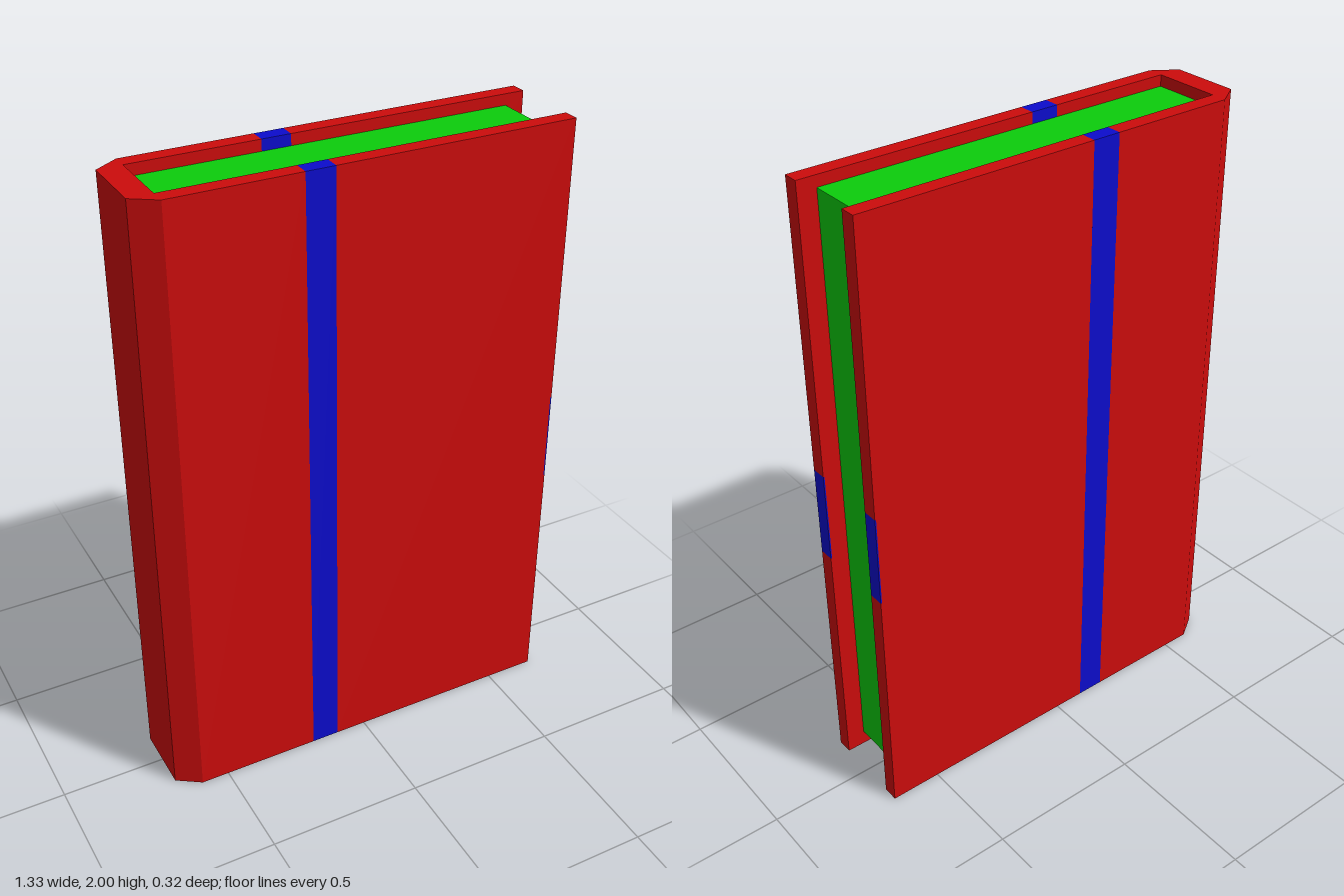
import * as THREE from 'three';

const HEIGHT = 2, OUTER = 0.158, INNER = 0.108; // half depths of cover and page block
const SPINE_X = -0.59, FORE_X = 0.665, EDGE = 0.004;

function material(name, color) {
  const m = new THREE.MeshStandardMaterial({ color });
  m.name = name;
  return m;
}

// Box given by its lower and upper limits on each axis
function block(name, mat, [x0, x1], [y0, y1], [z0, z1]) {
  const mesh = new THREE.Mesh(new THREE.BoxGeometry(x1 - x0, y1 - y0, z1 - z0), mat);
  mesh.position.set((x0 + x1) / 2, (y0 + y1) / 2, (z0 + z1) / 2);
  mesh.name = name;
  return mesh;
}

export function createModel() {
  const red = material('cover red', 0xcc0c0c);
  const blue = material('band blue', 0x0c0ccc);
  const green = material('page green', 0x0ccc0c);

  const book = new THREE.Group();
  book.name = 'book';

  // Spine with bevelled outer corners
  const outline = new THREE.Shape([
    new THREE.Vector2(-FORE_X, -INNER),
    new THREE.Vector2(SPINE_X, -OUTER),
    new THREE.Vector2(SPINE_X, OUTER),
    new THREE.Vector2(-FORE_X, INNER),
  ]);
  const spineGeometry = new THREE.ExtrudeGeometry(outline, { depth: HEIGHT, bevelEnabled: false });
  spineGeometry.rotateX(-Math.PI / 2);
  const spine = new THREE.Mesh(spineGeometry, red);
  spine.name = 'spine';
  book.add(spine);

  // Two cover boards, each crossed by a blue band and with a blue patch on its fore edge
  for (const [name, z] of [['frontCover', [INNER, OUTER]], ['backCover', [-OUTER, -INNER]]]) {
    const cover = new THREE.Group();
    cover.name = name;
    const full = [0, HEIGHT], edge = [FORE_X - EDGE, FORE_X];
    cover.add(
      block('spineSideBoard', red, [SPINE_X, -0.19], full, z),
      block('band', blue, [-0.19, -0.1], full, z),
      block('foreSideBoard', red, [-0.1, FORE_X - EDGE], full, z),
      block('lowerForeEdge', red, edge, [0, 0.795], z),
      block('foreEdgePatch', blue, edge, [0.795, 1.09], z),
      block('upperForeEdge', red, edge, [1.09, HEIGHT], z),
    );
    book.add(cover);
  }

  // Page block, set back from the cover edges
  book.add(block('pages', green, [SPINE_X, 0.605], [0.05, 1.965], [-INNER, INNER]));

  return book;
}
